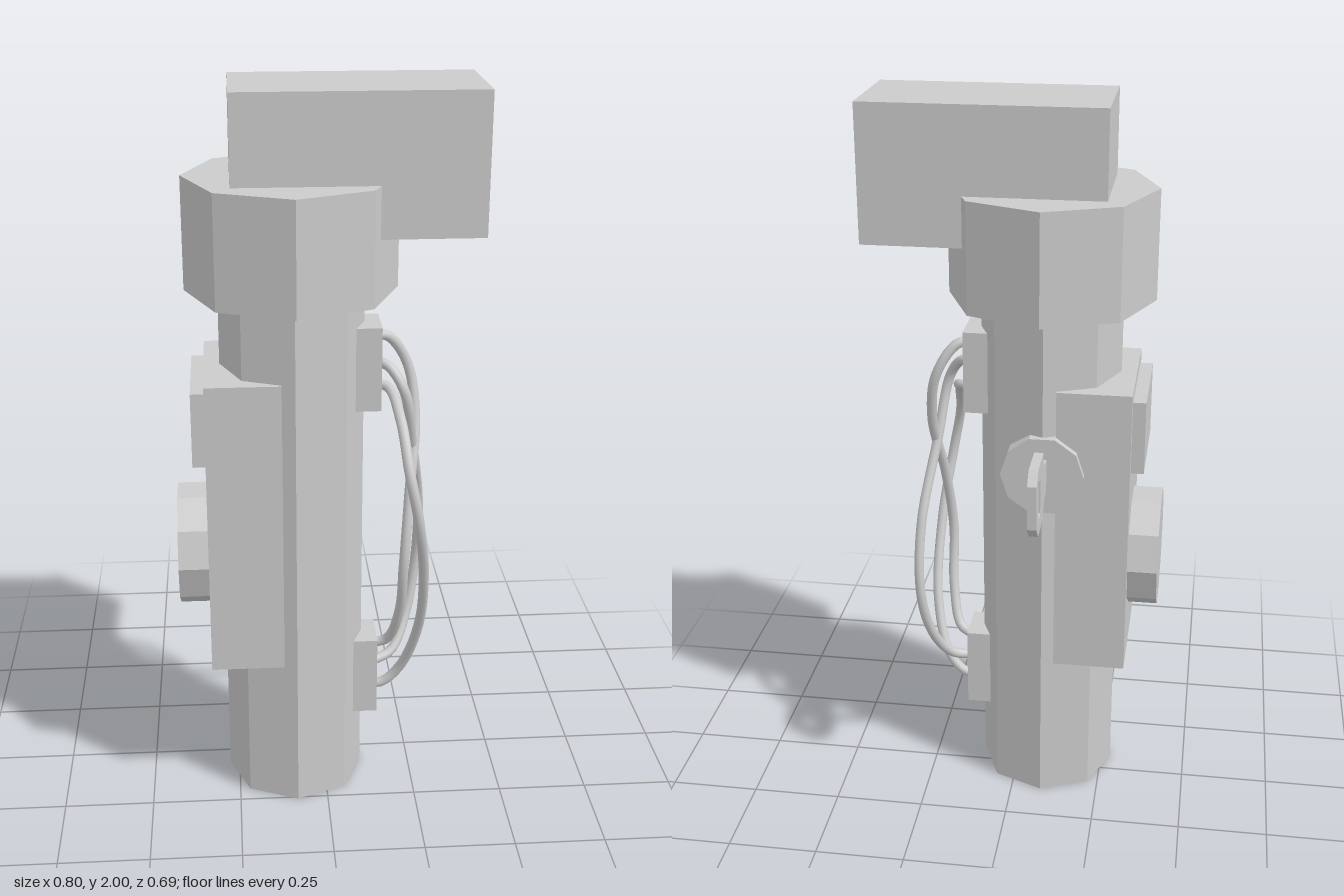
import * as THREE from 'three';

const flat = new THREE.MeshStandardMaterial({ color: 0xcccccc, flatShading: true });
const smooth = new THREE.MeshStandardMaterial({ color: 0xcccccc });

// Axis of the octagonal column
const CX = -0.085, CZ = 0.065;

export function createModel() {
  const group = new THREE.Group();

  const add = (name, geometry, material = flat) => {
    const mesh = new THREE.Mesh(geometry, material);
    mesh.name = name;
    group.add(mesh);
    return mesh;
  };

  // Box given by its extents on each axis
  const box = (name, [x0, x1], [y0, y1], [z0, z1]) =>
    add(name, new THREE.BoxGeometry(x1 - x0, y1 - y0, z1 - z0)
      .translate((x0 + x1) / 2, (y0 + y1) / 2, (z0 + z1) / 2));

  // Upright octagonal prism
  const prism = (name, r, y0, y1) =>
    add(name, new THREE.CylinderGeometry(r, r, y1 - y0, 8)
      .translate(CX, (y0 + y1) / 2, CZ));

  // Handle body: column, collar and overhanging head
  prism('column', 0.193, 0, 1.5);
  prism('collar', 0.28, 1.47, 1.77);
  box('head', [-0.24, 0.4], [1.635, 2], [-0.09, 0.217]);

  // Control panel with screen and ten-sided knob
  box('controlPanel', [-0.32, -0.12], [0.435, 1.265], [-0.122, 0.25]);
  box('screen', [-0.355, -0.31], [1.03, 1.235], [-0.088, 0.214]);
  add('knob', new THREE.CylinderGeometry(0.168, 0.168, 0.09, 10)
    .rotateZ(Math.PI / 2).translate(-0.357, 0.738, 0.064));

  // Lock on the back of the column
  add('lock', new THREE.CylinderGeometry(0.113, 0.113, 0.1, 10)
    .rotateY(Math.PI / 2).rotateX(Math.PI / 2).translate(CX, 1.03, -0.092));

  // Flat key with a slotted bow; profile runs backwards from the lock
  const outline = [
    [0.13, 0.985], [0.18, 0.985], [0.205, 0.96], [0.205, 0.937], [0.313, 0.937],
    [0.346, 0.972], [0.346, 1.094], [0.313, 1.128], [0.205, 1.128],
    [0.205, 1.105], [0.18, 1.08], [0.13, 1.08],
  ];
  const slot = [[0.27, 0.985], [0.27, 1.08], [0.306, 1.092], [0.306, 0.973]];
  const toPoints = (list) => list.map(([x, y]) => new THREE.Vector2(x, y));
  const keyShape = new THREE.Shape(toPoints(outline));
  keyShape.holes.push(new THREE.Path(toPoints(slot)));
  add('key', new THREE.ExtrudeGeometry(keyShape, { depth: 0.025, bevelEnabled: false })
    .rotateY(Math.PI / 2).translate(-0.098, 0, 0));

  // Cable sockets on the left side
  box('upperSocket', [0.08, 0.15], [1.143, 1.375], [0.003, 0.13]);
  box('lowerSocket', [0.08, 0.15], [0.205, 0.438], [0.003, 0.13]);

  // Three crossing cables between the sockets
  const cables = {
    cableFront: [
      [0.13, 1.2, 0.066], [0.17, 1.195, 0.08], [0.195, 1.14, 0.2], [0.21, 1.03, 0.285],
      [0.235, 0.9, 0.3], [0.262, 0.7, 0.235], [0.262, 0.48, 0.14],
      [0.22, 0.32, 0.08], [0.17, 0.265, 0.07], [0.13, 0.26, 0.066],
    ],
    cableMiddle: [
      [0.13, 1.335, 0.062], [0.175, 1.325, 0.045], [0.23, 1.24, 0.03], [0.25, 1.1, 0.06],
      [0.23, 0.9, 0.135], [0.215, 0.7, 0.17], [0.21, 0.53, 0.13],
      [0.18, 0.415, 0.08], [0.13, 0.395, 0.066],
    ],
    cableBack: [
      [0.13, 1.265, 0.066], [0.17, 1.26, 0.1], [0.21, 1.2, 0.13], [0.24, 1.03, 0.09],
      [0.275, 0.8, -0.01], [0.275, 0.6, -0.05], [0.25, 0.45, -0.02],
      [0.2, 0.35, 0.035], [0.13, 0.33, 0.066],
    ],
  };
  for (const [name, points] of Object.entries(cables)) {
    const curve = new THREE.CatmullRomCurve3(points.map((p) => new THREE.Vector3(...p)));
    add(name, new THREE.TubeGeometry(curve, 64, 0.014, 12), smooth);
  }

  return group;
}
